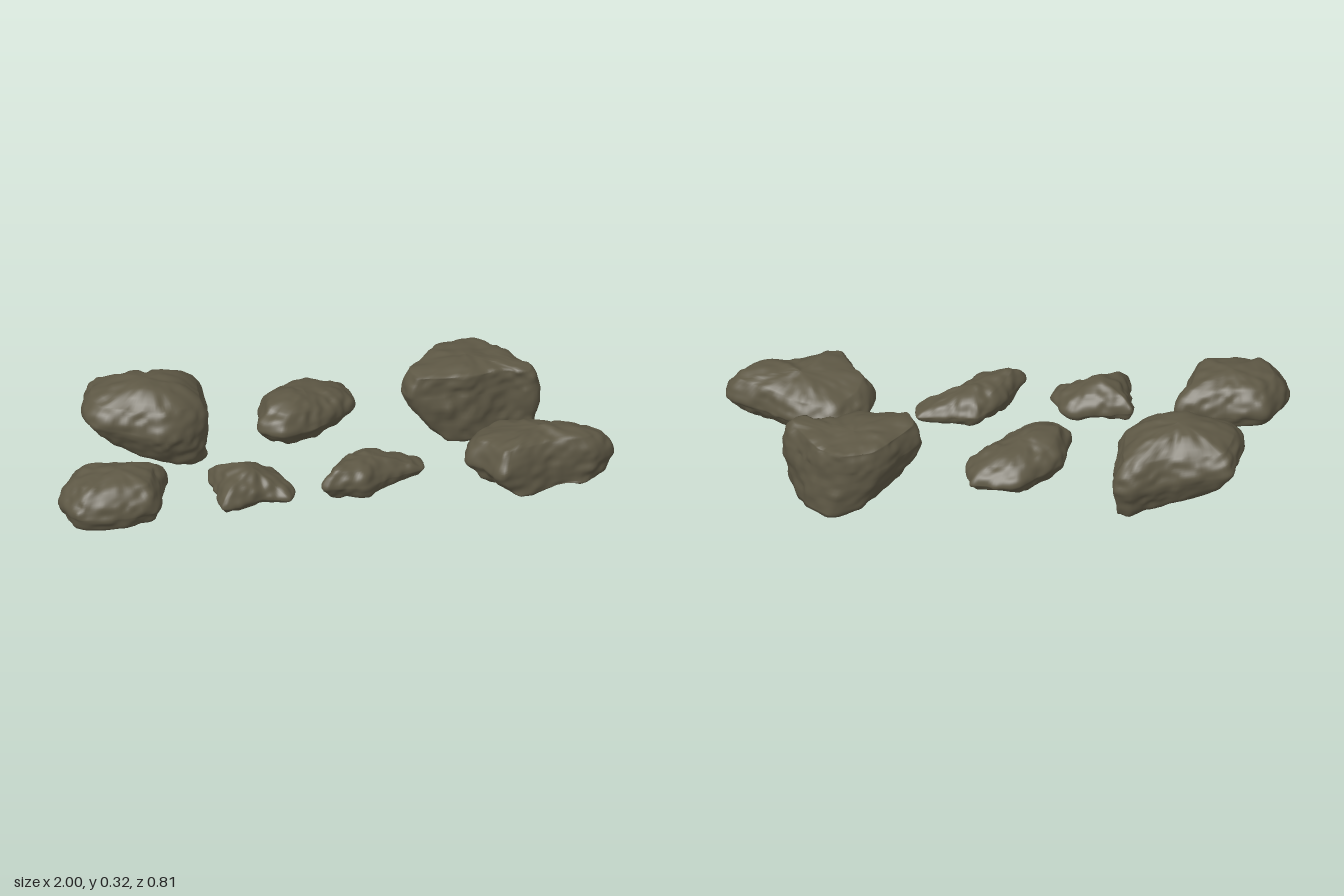
import * as THREE from 'three';

const stone = new THREE.MeshStandardMaterial({ color: 0x5e5845 });
stone.name = 'brown grey stone';

// Smooth repeatable lattice noise in -1..1
function hash(x, y, z) {
  const s = Math.sin(x * 127.1 + y * 311.7 + z * 74.7) * 43758.5453;
  return s - Math.floor(s);
}
function noise(x, y, z) {
  const [i, j, k] = [x, y, z].map(Math.floor);
  const [u, v, w] = [x - i, y - j, z - k].map((t) => t * t * (3 - 2 * t));
  const mix = THREE.MathUtils.lerp;
  const edge = (b, c) => mix(hash(i, j + b, k + c), hash(i + 1, j + b, k + c), u);
  return 2 * mix(mix(edge(0, 0), edge(1, 0), v), mix(edge(0, 1), edge(1, 1), v), w) - 1;
}

// Rows from the bottom centre to the top centre, as [height, scaleX, scaleZ, shiftX, shiftZ]
function profile([bottom, belt, shoulder, top], [footX, footZ, shiftX, shiftZ], [crownX, crownZ]) {
  const rows = [];
  const flat = 8, wall = 14;
  const mix = THREE.MathUtils.lerp;
  for (let i = 0; i < flat; i++) {
    const s = i / flat;
    rows.push([bottom, footX * s, footZ * s, shiftX, shiftZ]);
  }
  for (let i = 0; i < wall; i++) {
    const t = i / wall, s = Math.pow(t, 0.6);
    rows.push([mix(bottom, belt, t), mix(footX, 1, s), mix(footZ, 1, s), shiftX * (1 - s), shiftZ * (1 - s)]);
  }
  for (let i = 0; i < wall; i++) {
    const t = i / wall;
    rows.push([mix(belt, shoulder, t), mix(1, crownX, t * t), mix(1, crownZ, t * t), 0, 0]);
  }
  for (let i = 0; i <= flat; i++) {
    const t = i / flat;
    rows.push([mix(shoulder, top, t * (2 - t)), crownX * (1 - t), crownZ * (1 - t), 0, 0]);
  }
  return rows;
}

// outline: [x, z] corners seen from above; heights: bottom, widest level, shoulder, top;
// foot: scale and shift in x and z of the underside; crown: scale of the shoulder;
// taper: how the thickness changes along x and z; tilt: slope of the underside along x
function makeRock(name, outline, { heights, foot, crown, taper, tilt = 0 }) {
  const sides = 96;
  const curve = new THREE.CatmullRomCurve3(
    outline.map(([x, z]) => new THREE.Vector3(x, 0, z)), true, 'catmullrom', 0.22);
  const ring = curve.getSpacedPoints(sides).slice(0, sides);
  const c = new THREE.Box3().setFromPoints(ring).getCenter(new THREE.Vector3());
  const rows = profile(heights, foot, crown);
  const base = heights[0], thickness = heights[3] - base;

  // Stack scaled copies of the outline
  const positions = [], index = [];
  rows.forEach(([y, sx, sz, shiftX, shiftZ], r) => {
    ring.forEach((p, i) => {
      const x = (p.x - c.x) * sx + shiftX, z = (p.z - c.z) * sz + shiftZ;
      const rise = y - base;
      const height = base + rise * (1 + taper[0] * x + taper[1] * z) + tilt * x * (1 - rise / thickness);
      positions.push(c.x + x, height, c.z + z);
      if (r === rows.length - 1) return;
      const a = r * sides + i, b = r * sides + (i + 1) % sides;
      index.push(a, a + sides, b, b, a + sides, b + sides);
    });
  });
  const geometry = new THREE.BufferGeometry();
  geometry.setAttribute('position', new THREE.Float32BufferAttribute(positions, 3));
  geometry.setIndex(index);
  geometry.computeVertexNormals();

  // Weather the surface with broad lumps and finer chips
  const pos = geometry.attributes.position, nor = geometry.attributes.normal;
  for (let i = 0; i < pos.count; i++) {
    const p = new THREE.Vector3().fromBufferAttribute(pos, i);
    const n = new THREE.Vector3().fromBufferAttribute(nor, i);
    const [lump, chip] = [13, 36].map((f) => noise(p.x * f + 50, p.y * f + 50, p.z * f + 50));
    p.addScaledVector(n, 0.009 * lump + 0.006 * chip);
    pos.setXYZ(i, p.x, Math.max(0, p.y), p.z);
  }
  geometry.computeVertexNormals();

  const mesh = new THREE.Mesh(geometry, stone);
  mesh.name = name;
  return mesh;
}

export function createModel() {
  const group = new THREE.Group();
  group.name = 'rocks';

  // Back row, from the model's right to its left
  group.add(makeRock('backRightRock',
    [[-.78, -.38], [-.56, -.38], [-.43, -.41], [-.36, -.37], [-.38, -.15], [-.45, -.08], [-.57, -.05], [-.79, -.12],
      [-.83, -.21]],
    { heights: [.065, .17, .265, .33], foot: [.72, .75, .05, 0], crown: [.84, .78], taper: [0, .1], tilt: -.28 }));
  group.add(makeRock('backMiddleRock',
    [[-.03, -.36], [.14, -.33], [.15, -.21], [.07, -.14], [0, -.07], [-.14, -.02], [-.22, -.08], [-.18, -.24]],
    { heights: [.08, .145, .21, .24], foot: [.6, .6, 0, 0], crown: [.72, .72], taper: [-1, 0] }));
  group.add(makeRock('backLeftRock',
    [[.47, -.34], [.6, -.36], [.7, -.3], [.8, -.13], [.78, -.095], [.68, -.12], [.54, -.085], [.34, -.095], [.31, -.18]],
    { heights: [.015, .2, .285, .3], foot: [.62, .93, .07, 0], crown: [.86, .95], taper: [-.15, 0] }));

  // Front row, from the model's right to its left
  group.add(makeRock('frontRightRock',
    [[-.91, .08], [-.6, .11], [-.61, .2], [-.66, .345], [-.77, .365], [-.945, .35], [-.995, .22]],
    { heights: [.075, .12, .212, .235], foot: [.85, .85, 0, 0], crown: [.72, .68], taper: [0, .2] }));
  group.add(makeRock('frontInnerRightRock',
    [[-.44, .12], [-.33, .12], [-.2, .15], [-.155, .25], [-.18, .315], [-.27, .305], [-.36, .335], [-.43, .345]],
    { heights: [.08, .105, .165, .19], foot: [.8, .8, 0, 0], crown: [.65, .6], taper: [-2.2, -1.5] }));
  group.add(makeRock('frontInnerLeftRock',
    [[.11, .095], [.22, .115], [.325, .13], [.32, .21], [.2, .26], [.09, .325], [-.055, .33], [-.045, .28], [.03, .165]],
    { heights: [.08, .12, .165, .19], foot: [.8, .8, 0, 0], crown: [.75, .72], taper: [-2.2, 0] }));
  group.add(makeRock('frontLeftRock',
    [[.6, .04], [.73, .06], [.85, .135], [.99, .22], [.99, .27], [.91, .33], [.75, .34], [.57, .4], [.515, .285],
      [.47, .225], [.5, .12]],
    { heights: [.06, .13, .22, .245], foot: [.72, .75, .02, .03], crown: [.82, .76], taper: [0, 1] }));
  return group;
}
